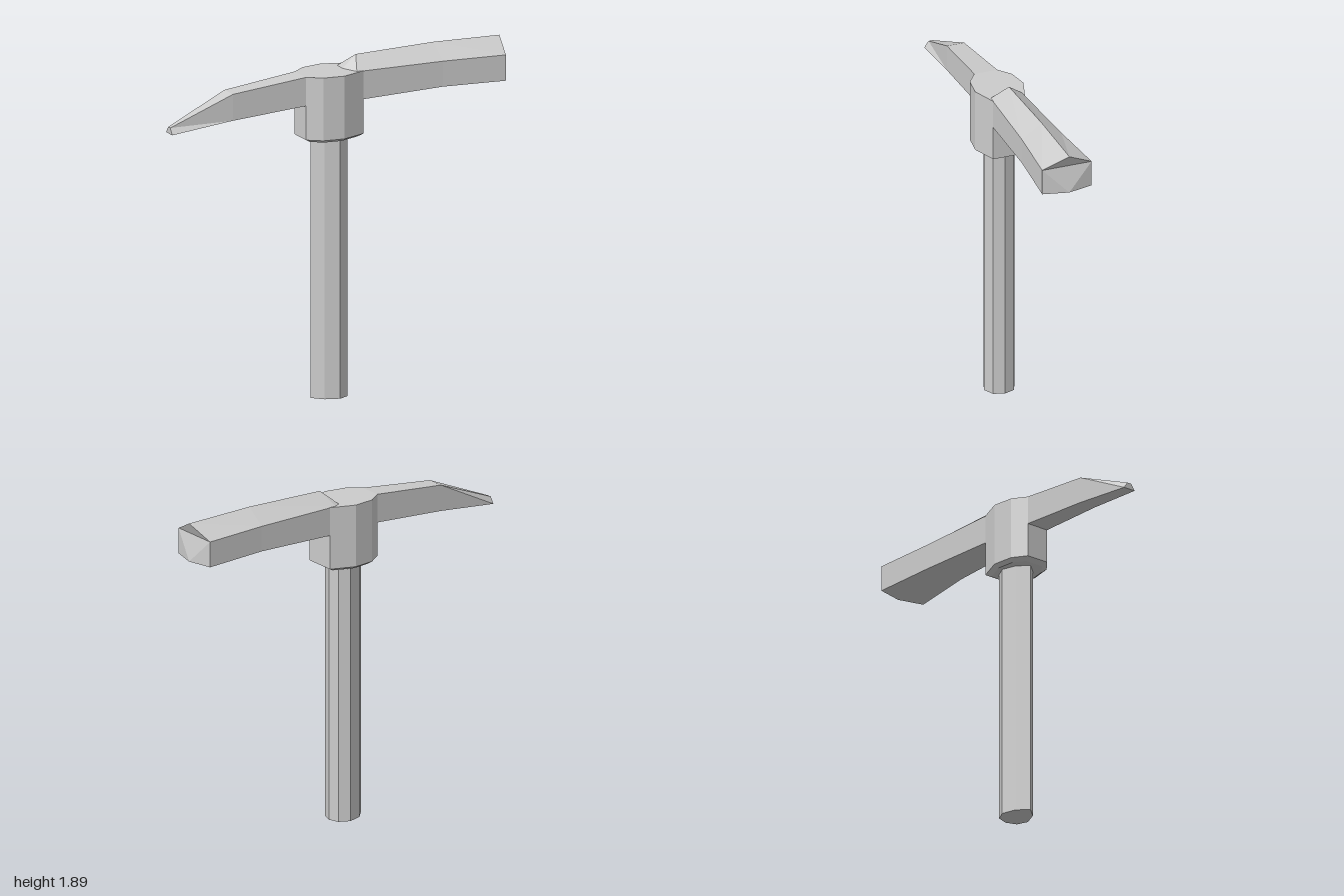
import * as THREE from 'three';

// Joins rings of [x, y, z] points (counter-clockwise seen from the direction of travel).
function loft(name, rings, endCap) {
  const n = rings[0].length, pos = [];
  const tri = (a, b, c) => pos.push(...a, ...b, ...c);
  for (let r = 0; r < rings.length - 1; r++) {
    const a = rings[r], b = rings[r + 1];
    for (let i = 0; i < n; i++) {
      const j = (i + 1) % n;
      tri(a[i], a[j], b[j]);
      tri(a[i], b[j], b[i]);
    }
  }
  const fan = Array.from({ length: n - 2 }, (_, i) => [0, i + 1, i + 2]);
  const first = rings[0], last = rings[rings.length - 1];
  fan.forEach(([i, j, k]) => tri(first[i], first[k], first[j]));
  (endCap || fan).forEach(([i, j, k]) => tri(last[i], last[j], last[k]));

  const geometry = new THREE.BufferGeometry();
  geometry.setAttribute('position', new THREE.Float32BufferAttribute(pos, 3));
  geometry.computeVertexNormals();
  const material = new THREE.MeshStandardMaterial({ color: 0xcccccc, flatShading: true });
  const mesh = new THREE.Mesh(geometry, material);
  mesh.name = name;
  return mesh;
}

// Horizontal ring from a half outline of [x, z], running from -x to +x and mirrored in z.
function levelRing(half, y, scale = 1, cx = -0.04) {
  const back = half.filter(([, z]) => z > 0).reverse().map(([x, z]) => [x, -z]);
  return [...half, ...back].map(([x, z]) => [cx + (x - cx) * scale, y, z * scale]);
}

export function createModel() {
  const group = new THREE.Group();
  group.name = 'pickHammer';

  // Egg-shaped eight-sided handle
  const grip = [[-0.145, 0], [-0.09, 0.06], [-0.01, 0.088], [0.05, 0.06], [0.07, 0]];
  group.add(loft('handle', [levelRing(grip, 0), levelRing(grip, 1.5)]));

  // Socket with a bevelled lower rim
  const eye = [[-0.205, 0.066], [-0.13, 0.122], [-0.01, 0.14], [0.13, 0.092]];
  group.add(loft('socket', [
    levelRing(eye, 1.445, 0.82),
    levelRing(eye, 1.462),
    levelRing(eye, 1.812),
  ]));

  // Tapering pick: x, top, bottom, top half width, bottom half width
  const pick = [
    [-1, 1.62, 1.585, 0.012, 0.036],
    [-0.64, 1.77, 1.623, 0.05, 0.05],
    [-0.205, 1.812, 1.652, 0.066, 0.066],
  ];
  group.add(loft('pick', pick.map(([x, top, low, tw, lw]) => [
    [x, top, -tw], [x, top, tw], [x, low, lw], [x, low, -lw],
  ])));

  // Ridged hammer arm: side x, centre x, ridge, shoulder, bottom, half width
  const arm = [
    [0.05, 0.05, 1.811, 1.808, 1.65, 0.075],
    [0.09, 0.13, 1.882, 1.811, 1.652, 0.09],
    [0.6, 0.6, 1.889, 1.809, 1.667, 0.113],
    [0.965, 1, 1.876, 1.804, 1.66, 0.143],
  ];
  // The striking face is notched between its ridge and its lower point
  const strikingFace = [[0, 1, 5], [1, 3, 5], [1, 2, 3], [5, 3, 4]];
  group.add(loft('hammerArm', arm.map(([x, cx, ridge, shoulder, low, w]) => [
    [cx, ridge, 0], [x, shoulder, w], [x, low, w],
    [cx, low, 0], [x, low, -w], [x, shoulder, -w],
  ]), strikingFace));

  return group;
}
